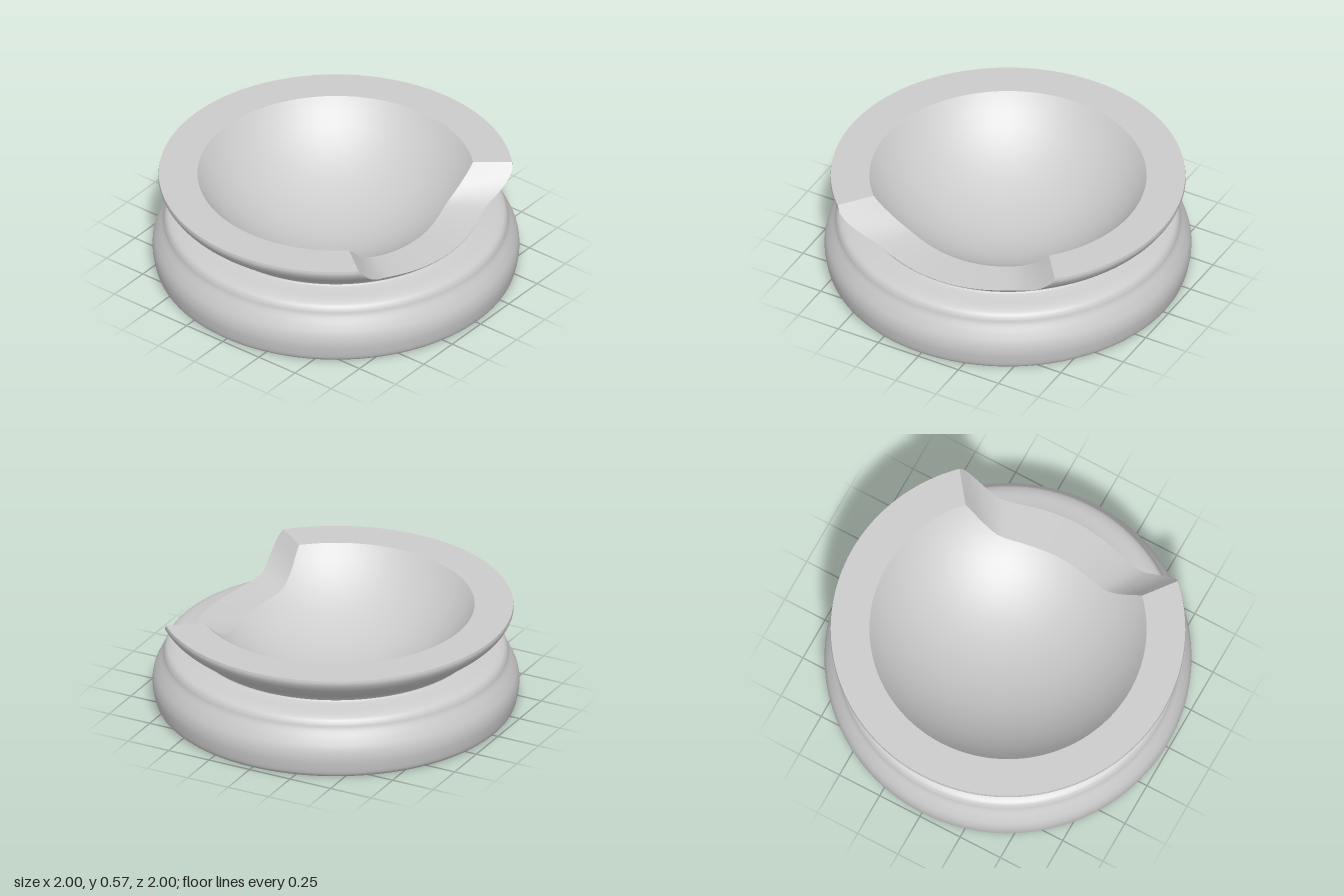
import * as THREE from 'three';
import { ParametricGeometry } from 'three/addons/geometries/ParametricGeometry.js';
import { mergeVertices } from 'three/addons/utils/BufferGeometryUtils.js';

const TOP = 0.575, NECK = 0.37;
const NOTCH = 0.3; // share of the columns that lie in the spout cut
const OUTER_END = THREE.MathUtils.degToRad(44.6);
const INNER_END = THREE.MathUtils.degToRad(46.5);
const BOWL_Y = 1.116, BOWL_R = 0.929; // sphere that hollows the bowl

function curve(xs, ys) {
  const c = new THREE.CubicInterpolant(xs, ys, 1);
  return x => c.evaluate(x)[0];
}

// Height of the spout cut from its middle (0) to its corner (1)
const cutHeight = curve(
  [0, 0.22, 0.44, 0.64, 0.74, 0.81, 0.9, 1],
  [0.375, 0.376, 0.383, 0.398, 0.415, 0.44, 0.49, TOP]);

// Radius of the flared outside wall at a height
const flare = curve(
  [NECK, 0.39, 0.41, 0.44, 0.475, 0.51, 0.555, TOP],
  [0.78, 0.795, 0.82, 0.866, 0.912, 0.945, 0.968, 0.966]);

const bowlRadius = y => Math.sqrt(BOWL_R ** 2 - (BOWL_Y - y) ** 2);

const edgeHeight = s => Math.abs(s) < NOTCH ? cutHeight(Math.abs(s) / NOTCH) : TOP;

// Column s in -1..1 to an angle from the front, keeping the cut's corners on a column
function columnAngle(s, end) {
  const a = Math.abs(s);
  const angle = a < NOTCH ? a / NOTCH * end : end + (a - NOTCH) / (1 - NOTCH) * (Math.PI - end);
  return Math.sign(s) * angle;
}

const polar = (out, r, angle, y) => out.set(r * Math.sin(angle), y, r * Math.cos(angle));

export function createModel() {
  const group = new THREE.Group();
  const material = new THREE.MeshStandardMaterial({ color: 0xcccccc, side: THREE.DoubleSide });

  function add(name, geometry) {
    const mesh = new THREE.Mesh(geometry, material);
    mesh.name = name;
    group.add(mesh);
  }

  function addSurface(name, columns, rows, point) {
    let g = new ParametricGeometry(point, columns, rows);
    g.deleteAttribute('uv');
    g.deleteAttribute('normal');
    g = mergeVertices(g, 1e-5);
    g.computeVertexNormals();
    add(name, g);
  }

  // Rounded base with a stepped shoulder
  const side = new THREE.SplineCurve([
    [0.965, 0], [0.983, 0.02], [0.995, 0.07], [1, 0.12], [0.993, 0.17], [0.972, 0.22],
    [0.945, 0.27], [0.935, 0.3], [0.918, 0.323], [0.88, 0.34], [0.82, 0.353],
    [0.787, 0.362], [0.78, NECK],
  ].map(p => new THREE.Vector2(...p)));
  add('base', new THREE.LatheGeometry(side.getPoints(60), 128));

  // Shallow recess below the base
  const recess = [[0, 0.06], [0.76, 0.06], [0.81, 0.056], [0.87, 0.04], [0.93, 0.015], [0.965, 0]];
  add('underside', new THREE.LatheGeometry(recess.map(p => new THREE.Vector2(...p)), 128));

  // Flared outside wall, lowered at the spout
  addSurface('outerWall', 200, 20, (u, v, out) => {
    const s = u * 2 - 1;
    const y = THREE.MathUtils.lerp(NECK, edgeHeight(s), v);
    polar(out, flare(y), columnAngle(s, OUTER_END), y);
  });

  // Spherical hollow
  addSurface('bowl', 200, 32, (u, v, out) => {
    const s = u * 2 - 1;
    const tilt = Math.asin(bowlRadius(edgeHeight(s)) / BOWL_R) * (1 - v);
    polar(out, BOWL_R * Math.sin(tilt), columnAngle(s, INNER_END), BOWL_Y - BOWL_R * Math.cos(tilt));
  });

  // Flat rim, running round the back from one corner of the cut to the other
  const inner = new THREE.Vector3();
  addSurface('rim', 140, 1, (u, v, out) => {
    const around = end => end + u * 2 * (Math.PI - end);
    polar(out, flare(TOP), around(OUTER_END), TOP);
    polar(inner, bowlRadius(TOP), around(INNER_END), TOP);
    out.lerp(inner, v);
  });

  // Dipped spout surface joining the two walls
  addSurface('spout', 60, 6, (u, v, out) => {
    const t = u * 2 - 1;
    const y = cutHeight(Math.abs(t));
    polar(out, flare(y), t * OUTER_END, y);
    polar(inner, bowlRadius(y), t * INNER_END, y);
    out.lerp(inner, v);
  });

  return group;
}
